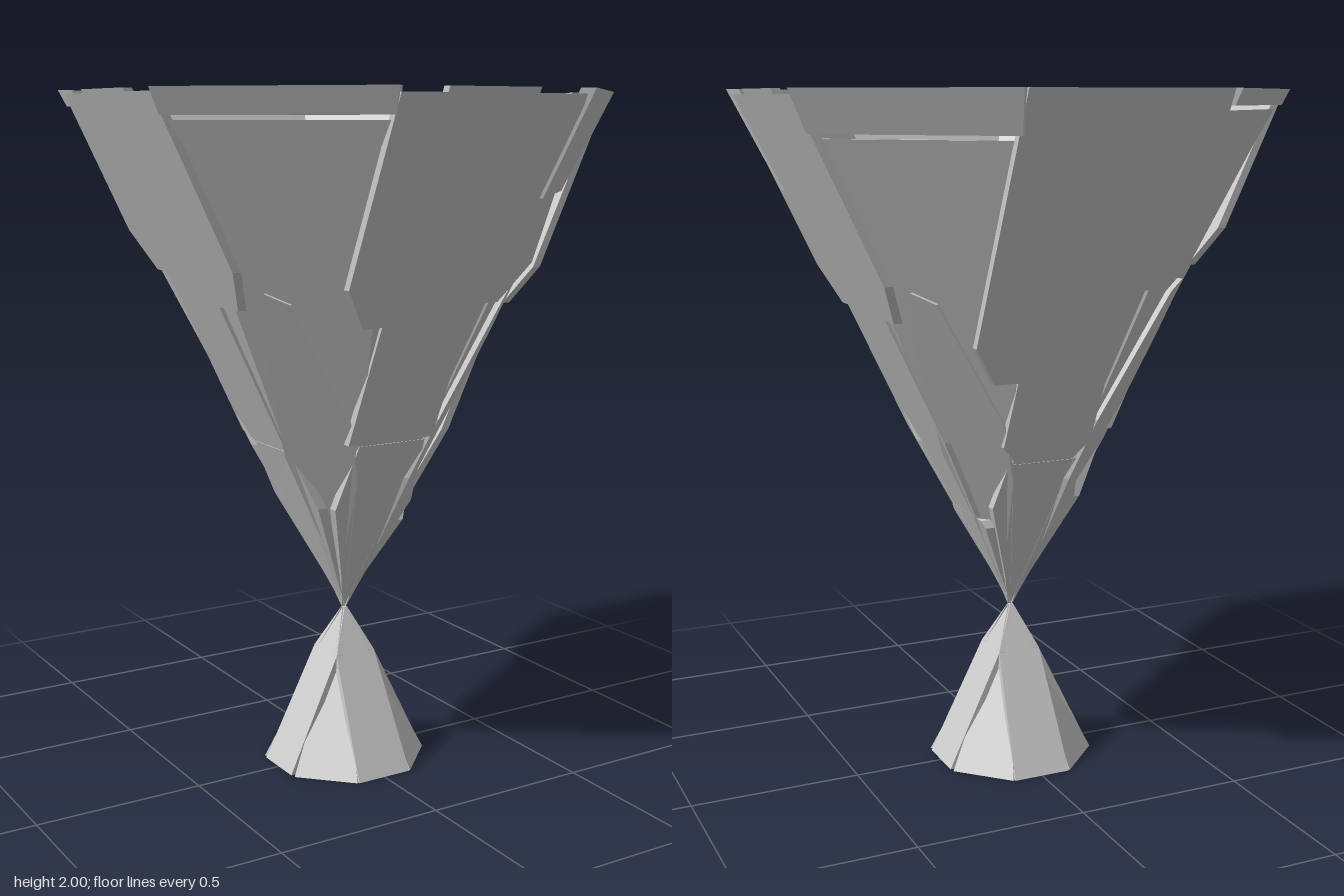
import * as THREE from 'three';

const material = new THREE.MeshStandardMaterial({ color: 0xcccccc, flatShading: true, side: THREE.DoubleSide });
const NECK = 0.47;
const TAN = Math.tan(Math.PI / 8);

// Distance of each flat wall from the axis
const bowlRadius = (y) => 0.735 * (y - NECK) / (2 - NECK) + 0.002;
const footRadius = (y) => 0.23 * (NECK - y) / NECK + 0.002;

// A slab outlined in (across, height), leaning along the wall that faces the given angle
function plate(parent, name, radius, angle, outline, out = 0, thick = 0.03) {
  const shape = new THREE.Shape(outline.map(([u, y]) => new THREE.Vector2(u, y)));
  const geometry = new THREE.ExtrudeGeometry(shape, { depth: thick, bevelEnabled: false });
  const p = geometry.attributes.position;
  for (let i = 0; i < p.count; i++) {
    const r = radius(p.getY(i));
    p.setZ(i, Math.max(0.001, r + out - thick + p.getZ(i)));
  }
  geometry.rotateY(angle);
  geometry.computeVertexNormals();
  const mesh = new THREE.Mesh(geometry, material);
  mesh.name = name;
  parent.add(mesh);
}

// Full-width section of an eight-sided wall between two heights
function wedge(radius, y0, y1, grow = 0) {
  const a = radius(y0) * TAN + grow, b = radius(y1) * TAN + grow;
  return [[-a, y0], [a, y0], [b, y1], [-b, y1]];
}

export function createModel() {
  const model = new THREE.Group();
  model.name = 'facetedGoblet';
  const bowl = new THREE.Group();
  bowl.name = 'bowl';
  const foot = new THREE.Group();
  foot.name = 'foot';
  model.add(bowl, foot);

  // Straight walls: wide strips that step in on each side, above a narrow tip
  const straight = [
    { l: 1.38, r: 1.43, wl: 0.15, wr: 0.13, tip: 1.03, top: 1.985 },  // front
    { l: 1.39, r: 1.38, wl: 0.16, wr: 0.14, tip: 0.78, top: 1.985 },  // left side
    { l: 1.22, r: 1.47, wl: 0.14, wr: 0.13, tip: 0.97, top: 2 },      // back
    { l: 1.5, r: 1.42, wl: 0.14, wr: 0.1, tip: 1.0, top: 1.99 },      // right side
  ];
  straight.forEach(({ l, r, wl, wr, tip, top }, i) => {
    const angle = i * Math.PI / 2;
    const knee = Math.min(tip, 0.85);
    plate(bowl, 'straightWall', bowlRadius, angle, [
      [-0.285, top], [-0.285, l + 0.11], [-0.21, l], [-wl, l], [-wl, Math.max(tip, 1.02)], [-0.09, tip],
      [0.09, tip], [wr, Math.max(tip, 1.02)], [wr, r], [0.21, r], [0.285, r + 0.11], [0.285, top],
    ], 0, 0.025);
    plate(bowl, 'straightRim', bowlRadius, angle, [[-0.15, 1.96], [0.13, 1.96], [0.13, 2], [-0.15, 2]], 0, 0.025);
    // Tip reaching down to the neck
    plate(bowl, 'bowlTip', bowlRadius, angle, [
      [-0.008, NECK], [0.008, NECK], [0.04, 0.58], [0.13 * knee / 0.85, knee - 0.03],
      [0.11, tip - 0.008], [-0.11, tip - 0.008], [-0.13 * knee / 0.85, knee - 0.03], [-0.04, 0.58],
    ], -0.004, 0.03);
    // Continuous inner lining behind the steps
    plate(bowl, 'straightLining', bowlRadius, angle, wedge(bowlRadius, NECK, 1.6), -0.014, 0.014);
  });

  // Corner walls: rim band, main panel and an overlapping lower strip
  const corners = [
    { seam: 1.71, side: 1 },    // front left
    { seam: 1.88, side: -1 },   // back left
    { seam: 1.95, side: 1 },    // back right
    { seam: 1.925, side: -1 },  // front right
  ];
  corners.forEach(({ seam, side }, i) => {
    const angle = Math.PI / 4 + i * Math.PI / 2;
    plate(bowl, 'cornerRim', bowlRadius, angle, wedge(bowlRadius, seam + 0.006, 2, 0.008), 0.002, 0.04);
    plate(bowl, 'cornerPanel', bowlRadius, angle, wedge(bowlRadius, NECK, seam - 0.006), -0.012, 0.025);
    const strip = [[-0.03, 0.68], [0.04, 0.72], [0.11, 0.98], [0.12, 1.3], [0.1, 1.47], [0.03, 1.44], [-0.1, 1.08], [-0.09, 0.9]];
    plate(bowl, 'lowerStrip', bowlRadius, angle, strip.map(([u, y]) => [u * side, y]), 0.008, 0.02);
  });

  // Hollow foot: raised ribs on the straight sides, plain panels between
  for (let i = 0; i < 8; i++) {
    const angle = i * Math.PI / 4;
    if (i % 2 === 0) {
      const w = i % 4 === 0 ? 0.088 : 0.078;
      plate(foot, 'footRib', footRadius, angle,
        [[-w, 0], [w, 0], [0.066, 0.34], [0.008, 0.468], [-0.008, 0.468], [-0.066, 0.34]], 0, 0.02);
    } else {
      plate(foot, 'footPanel', footRadius, angle, wedge(footRadius, 0, 0.468), -0.004, 0.018);
    }
  }
  return model;
}
